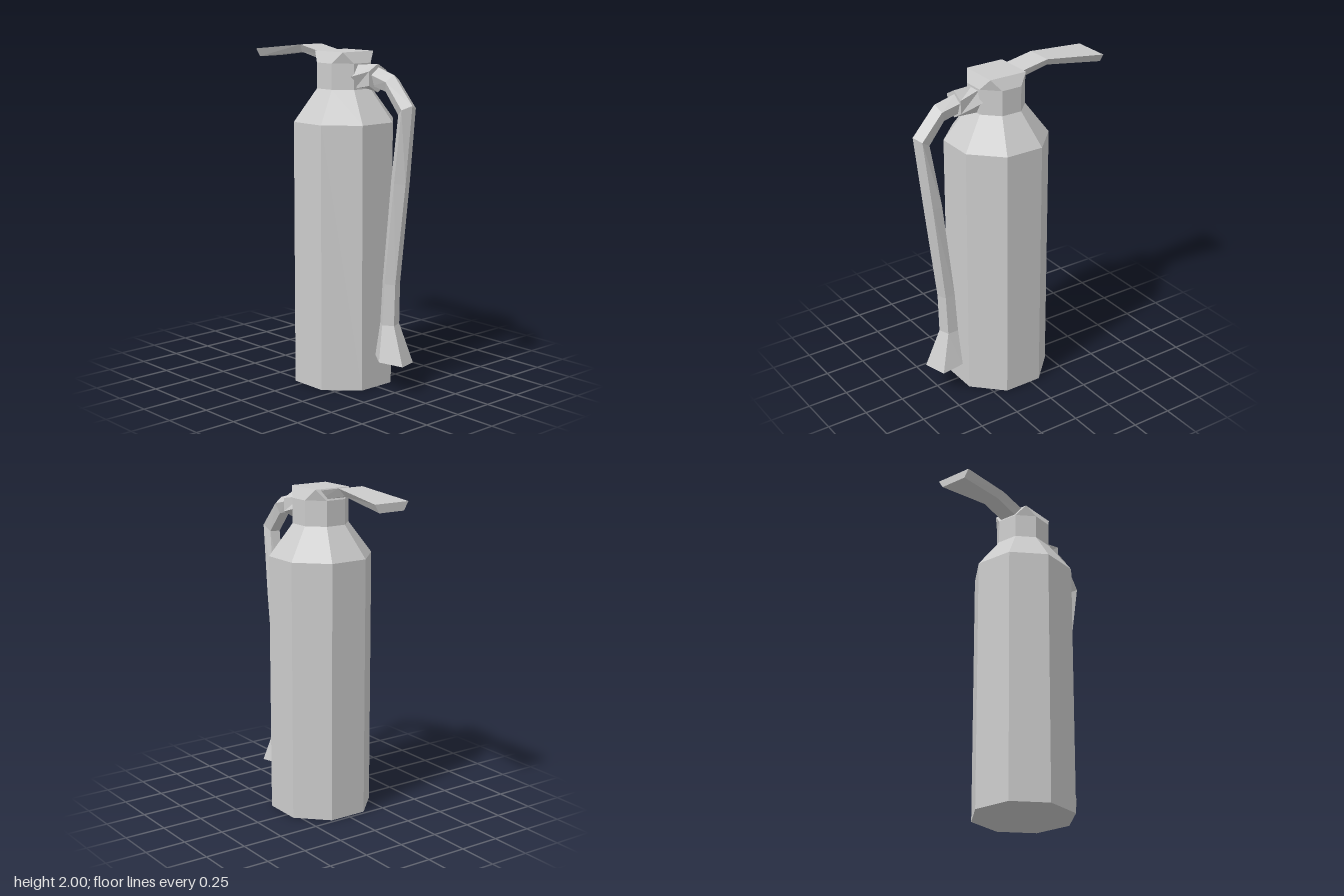
import * as THREE from 'three';

const material = new THREE.MeshStandardMaterial({ color: 0xcccccc, flatShading: true });

// Skin a list of equal-length rings and cap both ends.
function loft(name, rings) {
  const pos = [];
  const n = rings[0].length;
  const tri = (a, b, c) => {
    const area = b.clone().sub(a).cross(c.clone().sub(a)).length();
    if (area > 1e-7) for (const p of [a, b, c]) pos.push(p.x, p.y, p.z);
  };
  for (let i = 0; i < rings.length - 1; i++) {
    for (let j = 0; j < n; j++) {
      const k = (j + 1) % n;
      tri(rings[i][j], rings[i + 1][j], rings[i + 1][k]);
      tri(rings[i][j], rings[i + 1][k], rings[i][k]);
    }
  }
  const first = rings[0], last = rings[rings.length - 1];
  for (let j = 1; j < n - 1; j++) {
    tri(first[0], first[j], first[j + 1]);
    tri(last[0], last[j + 1], last[j]);
  }
  const geometry = new THREE.BufferGeometry();
  geometry.setAttribute('position', new THREE.Float32BufferAttribute(pos, 3));
  geometry.computeVertexNormals();
  const mesh = new THREE.Mesh(geometry, material);
  mesh.name = name;
  return mesh;
}

// Polygon ring spanned by an outward direction in the xy plane and the z axis.
function ring(sides, [x, y, z], r, outward, spin, tilt = 0) {
  const t = THREE.MathUtils.degToRad(outward);
  return Array.from({ length: sides }, (_, j) => {
    const a = THREE.MathUtils.degToRad(spin) + (j / sides) * Math.PI * 2;
    const u = r * Math.cos(a), v = r * Math.sin(a);
    return new THREE.Vector3(x + u * Math.cos(t), y + u * Math.sin(t) + v * tilt, z + v);
  });
}

export function createModel() {
  const model = new THREE.Group();
  const cx = 0.056;

  // Octagonal tank with sloped shoulder and neck
  const tankRing = (y, r) => ring(8, [cx, 0, 0], r, 0, 22.5).map((p) => p.setY(y));
  const neckTop = tankRing(1.91, 0.168);
  model.add(loft('tank', [tankRing(0, 0.31), tankRing(1.57, 0.31), tankRing(1.76, 0.168), neckTop]));

  // Valve head: octagon blending into a square top
  const square = neckTop.map((p) =>
    new THREE.Vector3(cx + 0.12 * Math.sign(p.x - cx), 1.975, 0.12 * Math.sign(p.z)));
  model.add(loft('valveHead', [neckTop, square]));

  // Lever: flared paddle, bent where it rises from the head [x top, top, x bottom, bottom, half width]
  const lever = [
    [-0.62, 1.96, -0.62, 1.91, 0.115],
    [-0.24, 2.0, -0.26, 1.955, 0.083],
    [0.0, 1.955, 0.0, 1.9, 0.083],
  ].map(([xt, yt, xb, yb, w]) => [
    new THREE.Vector3(xb, yb, w - 0.03),
    new THREE.Vector3(xt, yt, w),
    new THREE.Vector3(xt, yt, -w),
    new THREE.Vector3(xb, yb, -w + 0.03),
  ]);
  model.add(loft('lever', lever));

  // Hose fitting: twisted hexagonal collar
  model.add(loft('hoseFitting', [
    ring(6, [0.34, 1.833, 0], 0.081, 90, 0),
    ring(6, [0.19, 1.833, 0], 0.079, 90, 30),
  ]));

  // Hose with flared nozzle, from the mouth up to the fitting
  // [x, y, z, radius, outward angle, spin, tilt]
  const hose = [
    [0.458, 0.184, -0.025, 0.118, -7, 17, 0.1],
    [0.423, 0.4, -0.025, 0.059, 0, 17, 0],
    [0.435, 0.65, -0.024, 0.054, -6, 17, 0],
    [0.508, 1.25, -0.02, 0.056, -8, 12, 0],
    [0.568, 1.665, -0.008, 0.056, 33, 5, 0],
    [0.447, 1.807, -0.005, 0.056, 68, 3, 0],
    [0.33, 1.837, -0.005, 0.058, 85, 0, 0],
  ];
  model.add(loft('hose', hose.map(([x, y, z, r, out, spin, tilt]) => ring(5, [x, y, z], r, out, spin, tilt))));

  return model;
}
